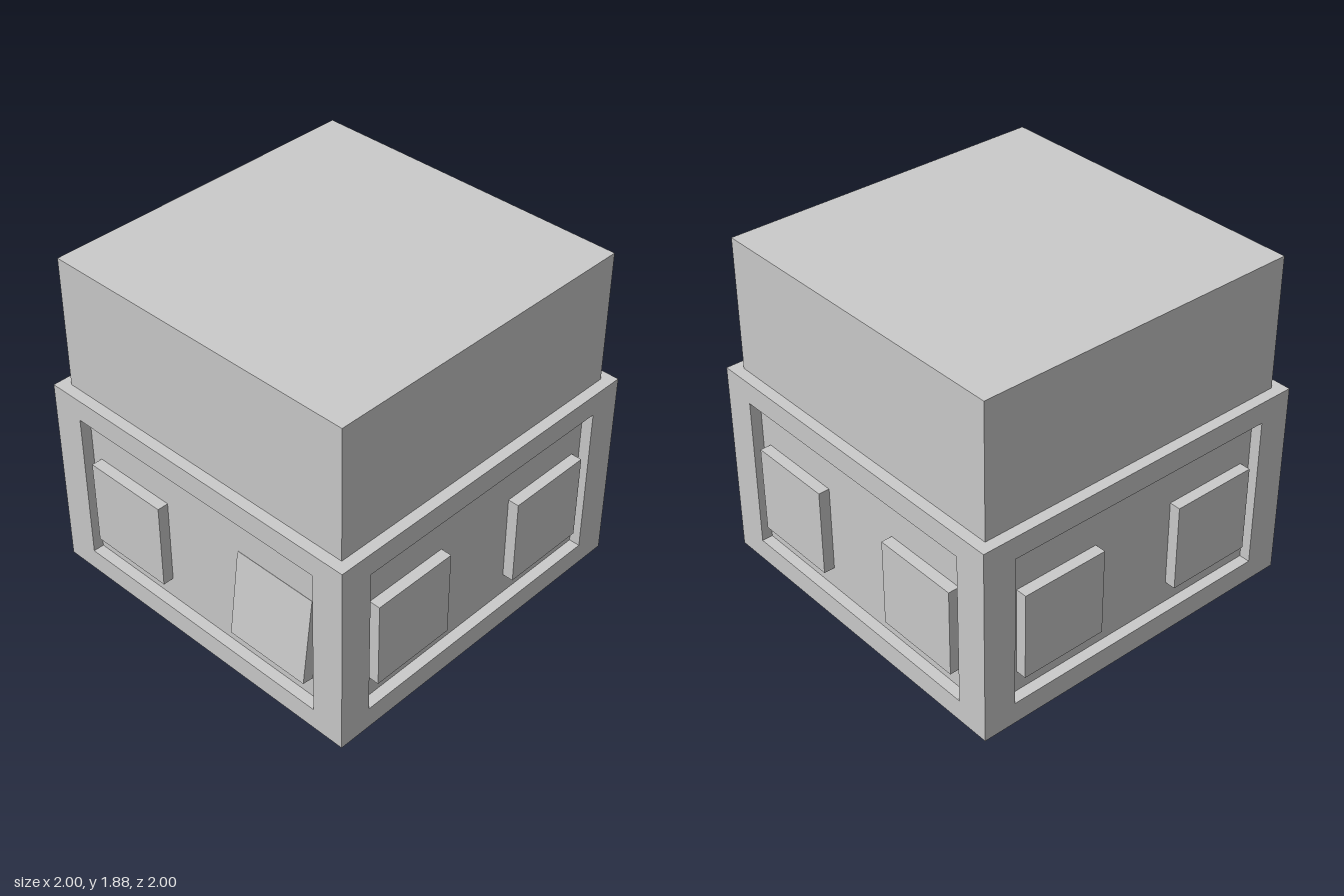
import * as THREE from 'three';

const DEPTH = 0.0625;          // recess and tile thickness
const INNER = 1 - DEPTH;       // half width of the inner block

export function createModel() {
  const model = new THREE.Group();
  model.name = 'panelledBlock';
  const material = new THREE.MeshStandardMaterial({ color: 0xcccccc, flatShading: true });

  const add = (parent, name, geometry, x = 0, y = 0, z = 0) => {
    const mesh = new THREE.Mesh(geometry, material);
    mesh.name = name;
    mesh.position.set(x, y, z);
    parent.add(mesh);
    return mesh;
  };

  // Rectangular frame with an opening, extruded outward along +z
  const frameGeometry = (halfWidth) => {
    const rect = (Type, w, y0, y1) => new Type().moveTo(-w, y0).lineTo(w, y0).lineTo(w, y1).lineTo(-w, y1).closePath();
    const shape = rect(THREE.Shape, halfWidth, 0, 1.125);
    shape.holes.push(rect(THREE.Path, 0.8125, 0.125, 1));
    return new THREE.ExtrudeGeometry(shape, { depth: DEPTH, bevelEnabled: false });
  };

  // Inner block: forms the upper box and the back of each recess
  add(model, 'innerBlock', new THREE.BoxGeometry(2 * INNER, 1.875, 2 * INNER), 0, 0.9375, 0);

  // Four sides, each a frame with two square tiles in its recess
  const tile = new THREE.BoxGeometry(0.5, 0.5, DEPTH);
  ['front', 'left', 'back', 'right'].forEach((name, i) => {
    const side = new THREE.Group();
    side.name = name + 'Side';
    side.rotation.y = (i * Math.PI) / 2;
    model.add(side);
    add(side, name + 'Frame', frameGeometry(i % 2 ? INNER : 1), 0, 0, INNER);
    for (const s of [-1, 1]) {
      const mesh = add(side, name + 'Tile', tile, s * 0.5, 0.5, 1 - DEPTH / 2);
      // One front tile hangs loose, its top sunk into the wall
      if (name === 'front' && s === 1) {
        mesh.name = 'looseTile';
        mesh.position.set(0.5, 0.503, 0.941);
        mesh.rotation.x = -THREE.MathUtils.degToRad(7.5);
      }
    }
  });

  return model;
}
